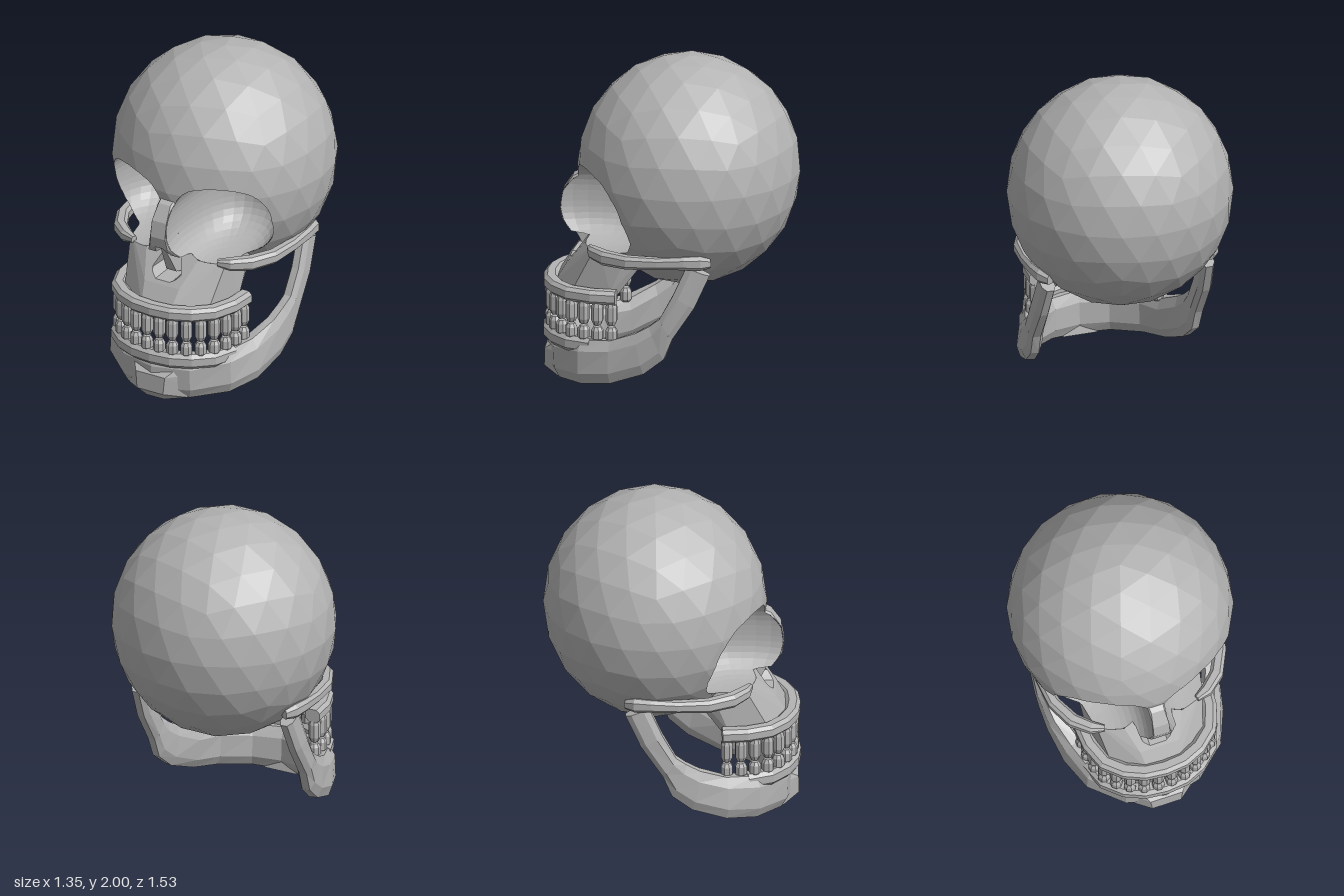
import * as THREE from 'three';
import { ConvexGeometry } from 'three/addons/geometries/ConvexGeometry.js';

const V = (x, y, z) => new THREE.Vector3(x, y, z);
const mirror = (p) => V(-p.x, p.y, p.z);

// Triangles (arrays of three points) from a geometry, and back to a faceted geometry
function toTris(geo) {
  const g = geo.index ? geo.toNonIndexed() : geo;
  const p = g.attributes.position, out = [];
  const at = (i) => new THREE.Vector3().fromBufferAttribute(p, i);
  for (let i = 0; i < p.count; i += 3) out.push([at(i), at(i + 1), at(i + 2)]);
  return out;
}
function fromTris(tris) {
  const geo = new THREE.BufferGeometry().setFromPoints(tris.flat());
  geo.computeVertexNormals();
  return geo;
}

// Split triangles until every edge is short, so that cuts come out clean
function refine(tris, max) {
  const out = [], stack = [...tris];
  while (stack.length) {
    const t = stack.pop();
    const len = [0, 1, 2].map((i) => t[i].distanceTo(t[(i + 1) % 3]));
    const i = len.indexOf(Math.max(...len));
    if (len[i] < max) { out.push(t); continue; }
    const a = t[i], b = t[(i + 1) % 3], c = t[(i + 2) % 3];
    const m = a.clone().lerp(b, 0.5);
    stack.push([a, m, c], [m, b, c]);
  }
  return out;
}

// Keep the part of the surface where f >= 0
function clip(tris, f) {
  const out = [];
  for (const t of tris) {
    const s = t.map(f), poly = [];
    for (let i = 0; i < 3; i++) {
      const j = (i + 1) % 3;
      if (s[i] >= 0) poly.push(t[i]);
      if ((s[i] >= 0) !== (s[j] >= 0)) {
        let a = t[i], b = t[j];
        if (s[i] < 0) [a, b] = [b, a];
        let lo = 0, hi = 1;
        for (let k = 0; k < 14; k++) {
          const m = (lo + hi) / 2;
          if (f(a.clone().lerp(b, m)) >= 0) lo = m; else hi = m;
        }
        poly.push(a.clone().lerp(b, lo));
      }
    }
    for (let k = 2; k < poly.length; k++) out.push([poly[0], poly[k - 1], poly[k]]);
  }
  return out;
}

// Convex solid: its triangles and a signed function, negative inside
function convex(geo) {
  const tris = toTris(geo);
  const planes = tris.map((t) => new THREE.Plane().setFromCoplanarPoints(...t));
  return { tris, f: (p) => planes.reduce((m, pl) => Math.max(m, pl.distanceToPoint(p)), -9) };
}
const hull = (half) => new ConvexGeometry([...half, ...half.map(mirror)]);

// Rounded-box eye socket cutter
function socket(side) {
  const n = 2.6, c = V(side * 0.287, 1.118, 0.4), r = V(0.257, 0.252, 0.45);
  const norm = (d) => (Math.abs(d.x) ** n + Math.abs(d.y) ** n + Math.abs(d.z) ** n) ** (1 / n);
  const tris = toTris(new THREE.SphereGeometry(1, 32, 24))
    .map((t) => t.map((p) => p.divideScalar(norm(p)).multiply(r).add(c)))
    .filter(([a, b, d]) => b.clone().sub(a).cross(d.clone().sub(a)).length() > 1e-9);
  return { tris, f: (p) => norm(p.clone().sub(c).divide(r)) - 1 };
}

// Bone swept through stations [edge point, opposite edge point, thickness]
function sweep(stations) {
  const mid = stations.map(([a, b]) => a.clone().lerp(b, 0.5));
  const N = 8, last = stations.length - 1;
  const soft = (v) => Math.sign(v) * Math.abs(v) ** 0.75;
  const rings = stations.map(([a, b, th], i) => {
    const tan = mid[Math.min(i + 1, last)].clone().sub(mid[Math.max(i - 1, 0)]);
    const v = b.clone().sub(a).multiplyScalar(0.5);
    const u = tan.cross(v).setLength(th / 2);
    return Array.from({ length: N }, (_, k) => {
      const w = ((k + 0.5) / N) * Math.PI * 2;
      return mid[i].clone().addScaledVector(u, soft(Math.cos(w))).addScaledVector(v, soft(Math.sin(w)) * 1.05);
    });
  });
  let tris = [];
  for (let k = 0; k < N; k++) {
    const l = (k + 1) % N;
    for (let i = 0; i < last; i++) {
      const [p, q] = [rings[i], rings[i + 1]];
      tris.push([p[k], p[l], q[l]], [p[k], q[l], q[k]]);
    }
    tris.push([mid[0], rings[0][l], rings[0][k]], [mid[last], rings[last][k], rings[last][l]]);
  }
  const volume = tris.reduce((s, [a, b, c]) => s + a.dot(b.clone().cross(c)), 0);
  if (volume < 0) tris = tris.map(([a, b, c]) => [a, c, b]);
  return fromTris(tris);
}
// Stations run from the middle to the left side; the right is mirrored
const bothSides = (half) => [
  ...half.slice(1).reverse().map(([a, b, t]) => [mirror(a), mirror(b), t]), ...half];

export function createModel() {
  const group = new THREE.Group();
  const bone = new THREE.MeshStandardMaterial({ color: 0xb4b4b4 });
  bone.name = 'bone grey';
  const add = (name, geo, parent = group) => {
    const m = new THREE.Mesh(geo, bone);
    m.name = name;
    parent.add(m);
    return m;
  };

  // Cranium, upper jaw block and nasal bridge, cut by the sockets and the nose opening
  const solids = {
    cranium: convex(new THREE.IcosahedronGeometry(1, 3).rotateZ(Math.atan(2 / (1 + Math.sqrt(5))))
      .scale(0.675, 0.695, 0.665).translate(0, 1.305, -0.108)),
    upperJaw: convex(hull([
      V(0.2, 0.93, 0.45), V(0.34, 0.92, 0.4), V(0.38, 0.93, 0.2), V(0.33, 0.9, 0.08),
      V(0.12, 0.72, 0.61), V(0.1, 0.6, 0.68), V(0.29, 0.6, 0.56), V(0.36, 0.62, 0.32),
      V(0.32, 0.76, 0.16), V(0.33, 0.6, 0.28)])),
    nasalBridge: convex(hull([
      V(0.05, 1.29, 0.48), V(0.04, 1.24, 0.58), V(0.05, 1.15, 0.64), V(0.05, 1.05, 0.658),
      V(0.06, 0.98, 0.645), V(0.1, 0.92, 0.59), V(0.2, 0.91, 0.52), V(0.32, 0.9, 0.43),
      V(0.3, 0.95, 0.3), V(0.08, 1.2, 0.4)])),
  };
  const cutters = {
    leftSocket: socket(1),
    rightSocket: socket(-1),
    noseOpening: convex(hull([
      V(0.03, 0.99, 0.8), V(0.12, 0.78, 0.8), V(0.06, 0.73, 0.8),
      V(0.02, 0.97, 0.4), V(0.09, 0.79, 0.4), V(0.05, 0.75, 0.4)])),
  };
  const inSolid = (p) => -Math.min(...Object.values(solids).map((s) => s.f(p)));
  for (const [name, s] of Object.entries(solids)) {
    let tris = refine(s.tris, 0.07);
    for (const c of Object.values(cutters)) tris = clip(tris, c.f);
    add(name, fromTris(tris));
  }
  for (const [name, c] of Object.entries(cutters)) {
    const tris = clip(refine(c.tris, 0.07), inSolid);
    add(name, fromTris(tris.map(([a, b, d]) => [a, d, b])));
  }

  // Nasal septum
  add('septum', hull([
    V(0.012, 0.98, 0.61), V(0.035, 0.77, 0.5), V(0.03, 0.97, 0.38), V(0.05, 0.74, 0.38)]));

  // Cheek arches
  const arch = [
    [0.29, 0.875, 0.45, 0.04], [0.36, 0.87, 0.42, 0.075], [0.45, 0.868, 0.34, 0.085],
    [0.52, 0.868, 0.2, 0.08], [0.545, 0.875, 0.02, 0.07], [0.545, 0.885, -0.14, 0.08],
    [0.53, 0.885, -0.23, 0.09], [0.5, 0.875, -0.285, 0.06]];
  for (const side of [1, -1]) {
    add(side > 0 ? 'leftCheekArch' : 'rightCheekArch', sweep(arch.map(([x, y, z, h]) =>
      [V(side * x, y - h / 2, z), V(side * x, y + h / 2, z), h])));
  }

  // Lower jaw from the chin back along the body and up the ramus
  const jaw = [
    [V(0, 0.025, 0.665), V(0, 0.3, 0.675), 0.13],
    [V(0.2, 0.04, 0.61), V(0.2, 0.3, 0.62), 0.14],
    [V(0.37, 0.06, 0.47), V(0.36, 0.33, 0.47), 0.14],
    [V(0.45, 0.09, 0.3), V(0.42, 0.35, 0.3), 0.13],
    [V(0.49, 0.17, 0.1), V(0.475, 0.42, 0.15), 0.11],
    [V(0.505, 0.27, -0.02), V(0.49, 0.47, 0.07), 0.1],
    [V(0.51, 0.4, -0.07), V(0.505, 0.52, 0.01), 0.1],
    [V(0.51, 0.6, -0.2), V(0.51, 0.67, -0.07), 0.095],
    [V(0.5, 0.8, -0.29), V(0.5, 0.85, -0.15), 0.09]];
  add('lowerJaw', sweep(bothSides(jaw)));
  add('chin', hull([
    V(0.06, 0.003, 0.68), V(0.2, 0.04, 0.65), V(0.24, 0.09, 0.62), V(0.23, 0.19, 0.63),
    V(0.09, 0.07, 0.745), V(0.1, 0.18, 0.742), V(0.15, 0.23, 0.68), V(0.1, 0.03, 0.6)]));

  // Gums follow the dental arc
  const arc = [[0, 0.71], [0.12, 0.698], [0.23, 0.65], [0.325, 0.565], [0.375, 0.43], [0.385, 0.285]];
  const gum = (pts, y0, y1, th) => sweep(bothSides(pts.map(([x, z]) => [V(x, y0, z), V(x, y1, z), th])));
  add('upperGum', gum(arc, 0.56, 0.645, 0.095));
  add('lowerGum', gum(arc.slice(0, 5), 0.25, 0.345, 0.1));

  // Teeth: short faceted pegs, widest in the middle
  const half = arc.map(([x, z]) => V(x, 0, z));
  const curve = new THREE.CatmullRomCurve3([...half.slice(1).reverse().map(mirror), ...half]);
  const tooth = (h) => fromTris(toTris(new THREE.LatheGeometry(
    [[0, 0], [0.024, 0], [0.037, 0.2], [0.037, 0.75], [0.024, 1], [0, 1]]
      .map(([r, y]) => new THREE.Vector2(r, y * h)), 8)));
  for (const [name, y, h] of [['upperTeeth', 0.43, 0.15], ['lowerTeeth', 0.33, 0.088]]) {
    const row = new THREE.Group();
    row.name = name;
    group.add(row);
    const geo = tooth(h), count = 16;
    for (let i = 0; i < count; i++) {
      const t = 0.02 + (0.96 * i) / (count - 1);
      const m = add('tooth', geo, row), d = curve.getTangentAt(t);
      m.position.copy(curve.getPointAt(t)).setY(y);
      m.rotation.y = Math.atan2(-d.z, d.x) + Math.PI / 8;
    }
  }
  return group;
}
